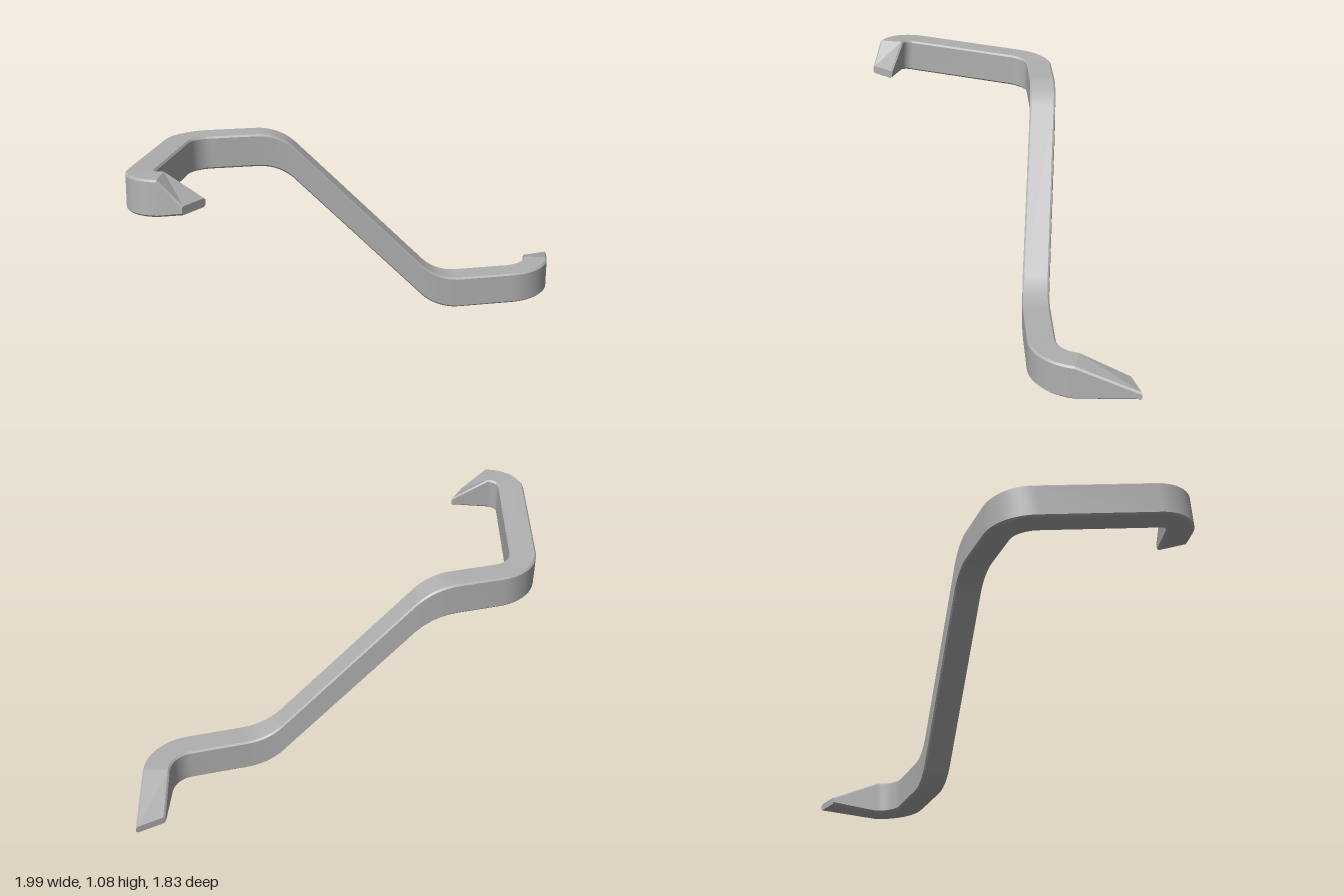
import * as THREE from 'three';
import { toCreasedNormals } from 'three/addons/utils/BufferGeometryUtils.js';

const V = (x, y, z) => new THREE.Vector3(x, y, z);
const WIDTH = 0.136, HEIGHT = 0.174, BEVEL = 0.009;

// Eight-sided cross-section: a bevelled rectangle, optionally skewed along the bar.
function section(p, t, height = HEIGHT, skew = 0) {
  const lean = -0.075 * THREE.MathUtils.clamp((p.z + 0.05) / 0.15, 0, 1);
  const up = V(0, 1, lean);
  const side = t.clone().cross(V(0, 1, 0)).normalize();
  const a = WIDTH / 2, h = height / 2, b = BEVEL;
  const outline = [[a, -h + b], [a, h - b], [a - b, h], [b - a, h],
    [-a, h - b], [-a, b - h], [b - a, -h], [a - b, -h]];
  return outline.map(([s, u]) => p.clone()
    .addScaledVector(side, s).addScaledVector(up, u).addScaledVector(t, skew * s));
}

// Skin through a list of sections, with flat caps.
function loft(rings) {
  const n = rings[0].length, pos = [], index = [];
  rings.forEach(r => r.forEach(v => pos.push(v.x, v.y, v.z)));
  for (let k = 0; k < rings.length - 1; k++) {
    for (let i = 0; i < n; i++) {
      const a = k * n + i, b = k * n + (i + 1) % n;
      index.push(a, a + n, b, b, a + n, b + n);
    }
  }
  const last = (rings.length - 1) * n;
  for (let i = 1; i < n - 1; i++) {
    index.push(0, i, i + 1, last, last + i + 1, last + i);
  }
  const g = new THREE.BufferGeometry();
  g.setAttribute('position', new THREE.Float32BufferAttribute(pos, 3));
  g.setIndex(index);
  return toCreasedNormals(g, 0.2);
}

// Sections along a polyline whose corners are rounded over a given tangent length.
function bentSections(points, cuts) {
  const rings = [], steps = 12;
  const dir = i => points[i + 1].clone().sub(points[i]).normalize();
  rings.push(section(points[0], dir(0)));
  for (let i = 1; i < points.length - 1; i++) {
    const d0 = dir(i - 1), d1 = dir(i), cut = cuts[i - 1];
    const angle = d0.angleTo(d1);
    const handle = 4 / 3 * Math.tan(angle / 4) * cut / Math.tan(angle / 2);
    const from = points[i].clone().addScaledVector(d0, -cut);
    const to = points[i].clone().addScaledVector(d1, cut);
    const bend = new THREE.CubicBezierCurve3(from, from.clone().addScaledVector(d0, handle),
      to.clone().addScaledVector(d1, -handle), to);
    for (let k = 0; k <= steps; k++) {
      rings.push(section(bend.getPoint(k / steps), bend.getTangent(k / steps)));
    }
  }
  const e = points.length - 1;
  rings.push(section(points[e], dir(e - 1)));
  return rings;
}

export function createModel() {
  const group = new THREE.Group();
  group.name = 'bentBar';
  const steel = new THREE.MeshStandardMaterial({ color: 0xb0b0b0 });
  steel.name = 'grey steel';
  const add = (name, rings) => {
    const mesh = new THREE.Mesh(loft(rings), steel);
    mesh.name = name;
    group.add(mesh);
  };

  // Bar: hook, upper arm, upper shelf, slope, lower shelf, foot
  const hookStart = V(-0.805, 0.995, 0.843), footStart = V(0.925, 0.098, -0.6);
  const path = [hookStart, V(-0.93, 0.992, 0.843), V(-0.93, 0.932, 0),
    V(-0.45, 0.936, -0.138), V(0.385, 0.09, -0.285), V(0.925, 0.1, -0.443), footStart];
  add('bar', bentSections(path, [0.115, 0.14, 0.12, 0.12, 0.15]));

  // Chisel tip on the upper hook
  const hookDir = V(-1, 0, 0);
  add('hookTip', [section(V(-0.652, 0.943, 0.845), hookDir, 0.042, -0.55),
    section(hookStart, hookDir)]);

  // Chisel tip on the lower foot
  const footDir = V(0, 0, -1);
  add('footTip', [section(footStart, footDir),
    section(V(0.925, 0.075, -0.878), footDir, 0.038, 0.55)]);

  return group;
}
